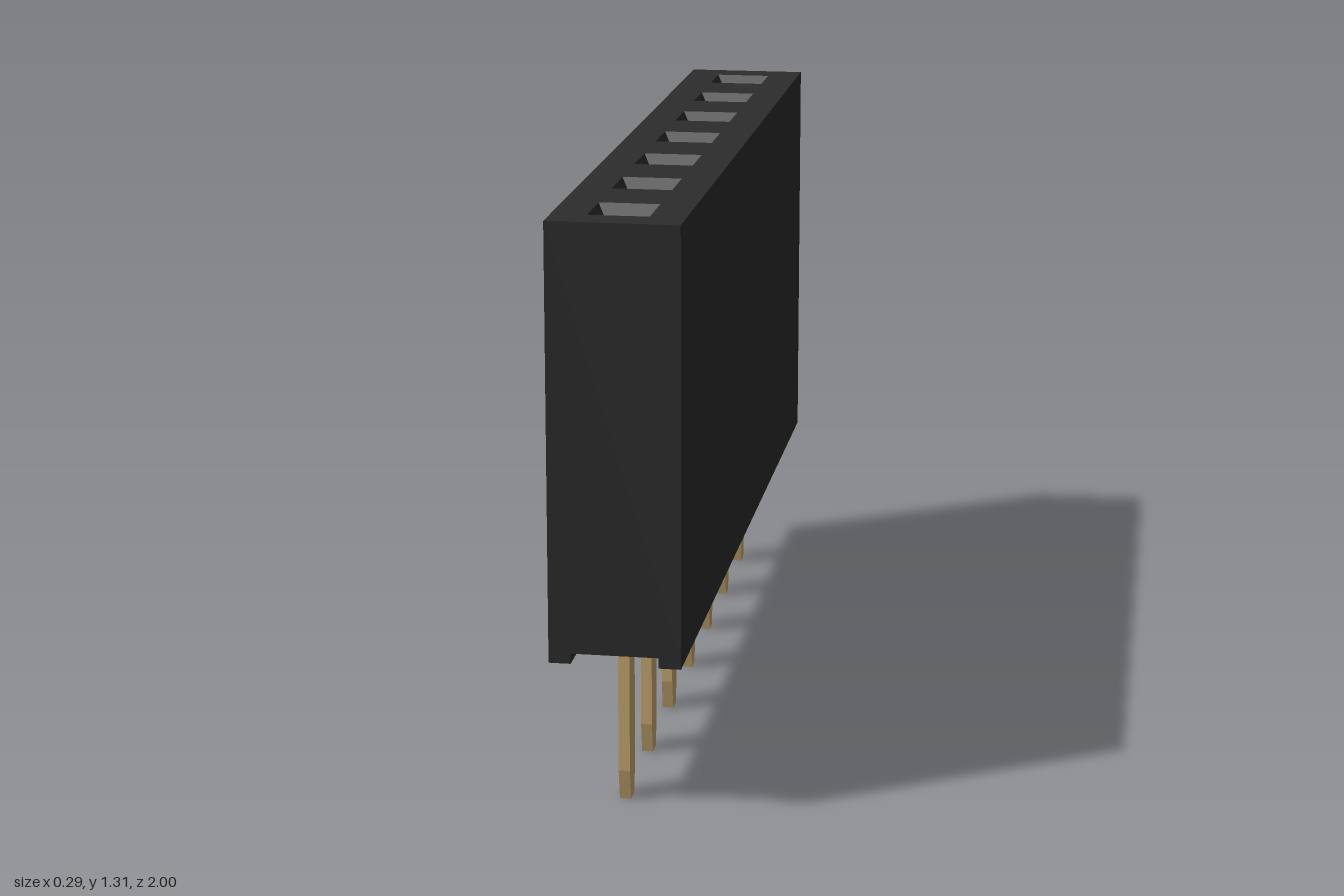
import * as THREE from 'three';

const COUNT = 7, PITCH = 0.286;
const HALF_W = 0.143, BASE = 0.373, TOP = 1.31, FOOT = 0.35;
const MOUTH = 0.066, SHAFT = 0.034;

const plastic = new THREE.MeshStandardMaterial({ color: 0x2c2c2c, flatShading: true });
const socketPlastic = new THREE.MeshStandardMaterial({ color: 0x2c2c2c, flatShading: true, side: THREE.DoubleSide });
const brass = new THREE.MeshStandardMaterial({ color: 0xc4a772, flatShading: true });

function add(parent, name, geometry, material) {
  const mesh = new THREE.Mesh(geometry, material);
  mesh.name = name;
  parent.add(mesh);
  return mesh;
}

function polygon(points, Type = THREE.Shape) {
  return new Type(points.map(([x, y]) => new THREE.Vector2(x, y)));
}

function rect(cx, cy, hx, hy, Type) {
  return polygon([[cx - hx, cy - hy], [cx + hx, cy - hy], [cx + hx, cy + hy], [cx - hx, cy + hy]], Type);
}

export function createModel() {
  const model = new THREE.Group();
  model.name = 'socketHeader';
  const rows = Array.from({ length: COUNT }, (_, i) => (i - (COUNT - 1) / 2) * PITCH);

  // Housing block with a row of square openings
  const outline = rect(0, 0, HALF_W, 1);
  rows.forEach((z) => outline.holes.push(rect(0, z, MOUTH, MOUTH, THREE.Path)));
  const block = new THREE.ExtrudeGeometry(outline, { depth: TOP - BASE, bevelEnabled: false });
  block.rotateX(-Math.PI / 2);
  add(model, 'housing', block, plastic).position.y = BASE;

  // Standoff rails along both long lower edges
  for (const side of [-1, 1]) {
    const rail = add(model, 'standoffRail', new THREE.BoxGeometry(0.048, BASE - FOOT, 2), plastic);
    rail.position.set(side * (HALF_W - 0.024), (BASE + FOOT) / 2, 0);
  }

  // Square funnel and shaft lining each opening
  const liningProfile = [[MOUTH, BASE], [SHAFT, BASE], [SHAFT, TOP - 0.06], [MOUTH, TOP]]
    .map(([half, y]) => new THREE.Vector2(half * Math.SQRT2, y));
  const lining = new THREE.LatheGeometry(liningProfile, 4, Math.PI / 4);

  // Flat pin blade with a tapered tip
  const blade = polygon([[-0.019, 0], [0.019, 0], [0.033, 0.07], [0.033, 0.45], [-0.033, 0.45], [-0.033, 0.07]]);
  const pin = new THREE.ExtrudeGeometry(blade, { depth: 0.025, bevelEnabled: false });
  pin.translate(0, 0, -0.0125).rotateY(Math.PI / 2);

  // Thinner contact rising inside the shaft
  const contact = new THREE.BoxGeometry(0.016, 0.45, 0.066).translate(0, 0.675, 0);

  for (const z of rows) {
    add(model, 'socketLining', lining, socketPlastic).position.z = z;
    add(model, 'pin', pin, brass).position.z = z;
    add(model, 'contact', contact, brass).position.z = z;
  }
  return model;
}
